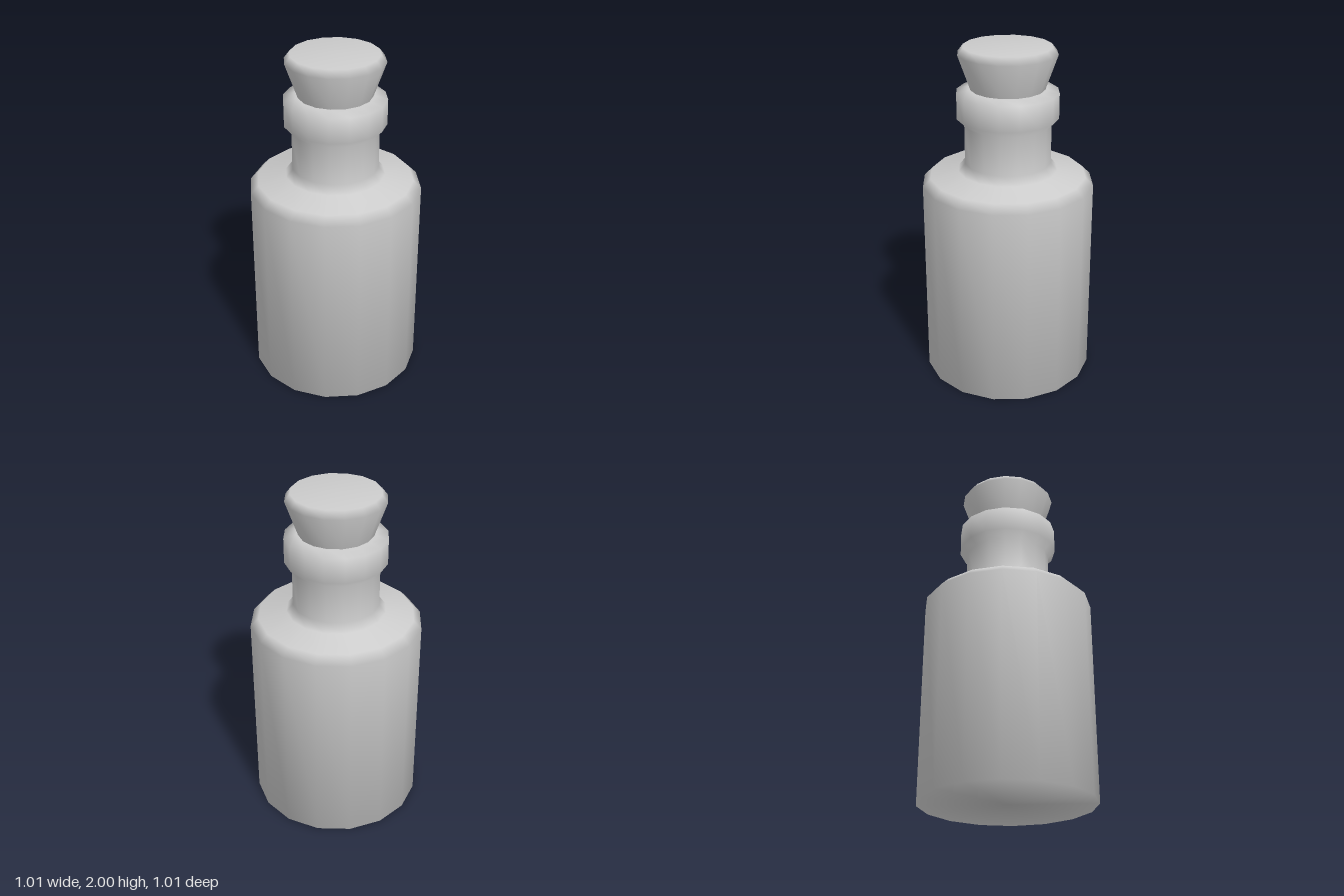
import * as THREE from 'three';

const SIDES = 16;

// Revolve a [radius, height] outline into a smooth-shaded part
function turned(name, outline) {
  const points = outline.map(([r, y]) => new THREE.Vector2(r, y));
  const mesh = new THREE.Mesh(
    new THREE.LatheGeometry(points, SIDES),
    new THREE.MeshStandardMaterial({ color: 0xcccccc })
  );
  mesh.name = name;
  return mesh;
}

export function createModel() {
  const model = new THREE.Group();
  model.name = 'corkedBottle';

  // Closed base, straight wall, shoulder, neck and rolled lip
  model.add(turned('bottle', [
    [0, 0], [0.507, 0], [0.501, 1.2], [0.455, 1.247],
    [0.29, 1.278], [0.252, 1.325], [0.252, 1.555], [0.294, 1.595],
    [0.294, 1.742], [0.225, 1.762], [0.19, 1.755],
  ]));

  // Tapered stopper with a bevelled top, seated in the neck
  model.add(turned('stopper', [
    [0, 1.7], [0.19, 1.7], [0.213, 1.76], [0.283, 1.96], [0.252, 2], [0, 2],
  ]));

  return model;
}
